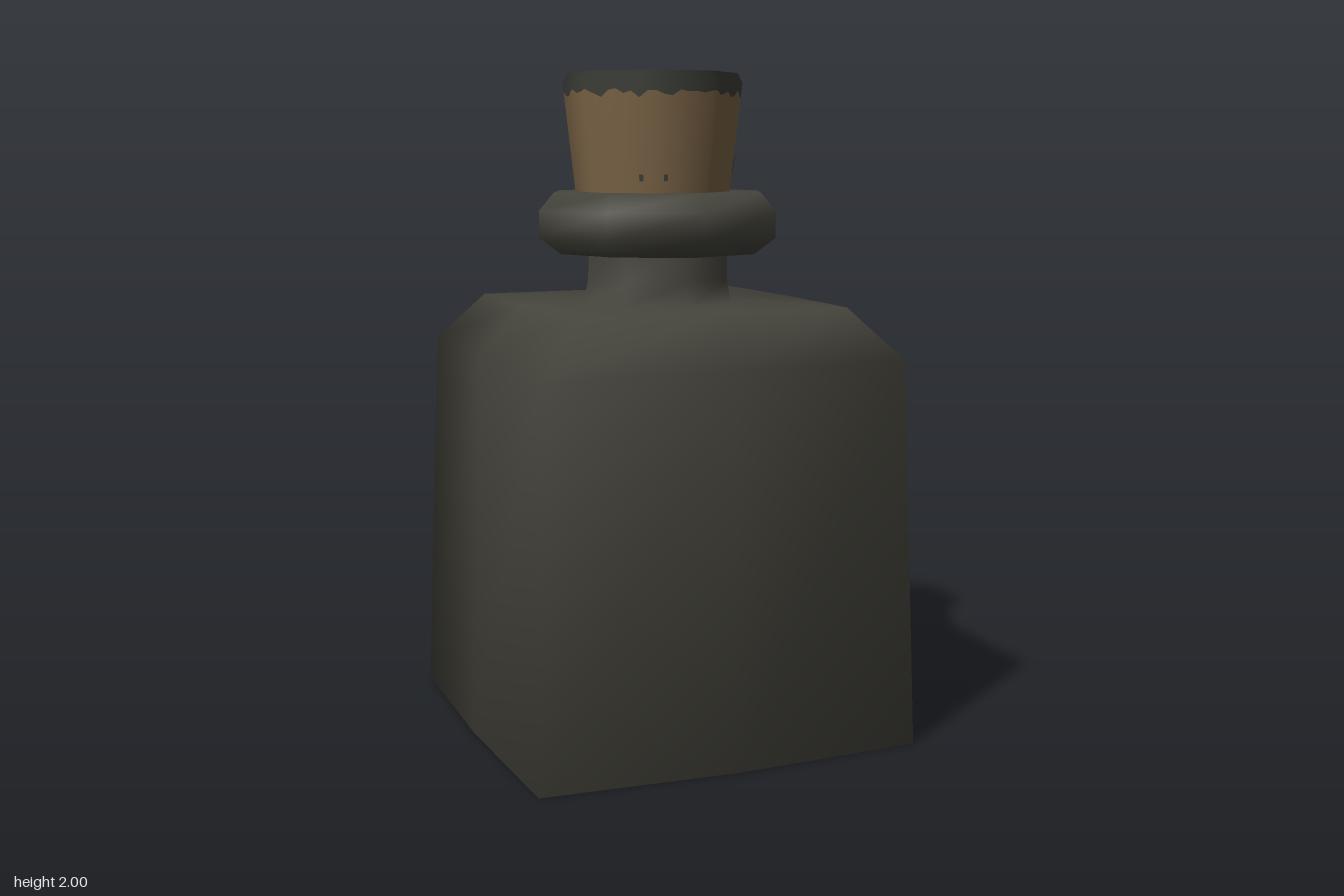
import * as THREE from 'three';

const mat = (name, color) => {
  const m = new THREE.MeshStandardMaterial({ color });
  m.name = name;
  return m;
};

// Skin closed rings of points, listed from bottom to top, sharing vertices for smooth shading
function loft(rings, { capBottom = false, capTop = false } = {}) {
  const n = rings[0].length, pos = [], idx = [];
  rings.forEach(r => r.forEach(p => pos.push(...p)));
  for (let r = 0; r < rings.length - 1; r++) {
    for (let i = 0; i < n; i++) {
      const a = r * n + i, b = r * n + (i + 1) % n;
      idx.push(a, a + n, b, b, a + n, b + n);
    }
  }
  const cap = (ring, base, up) => {
    const c = pos.length / 3;
    pos.push(...[0, 1, 2].map(k => ring.reduce((s, p) => s + p[k], 0) / n));
    for (let i = 0; i < n; i++) {
      const a = base + i, b = base + (i + 1) % n;
      if (up) idx.push(c, b, a); else idx.push(c, a, b);
    }
  };
  if (capBottom) cap(rings[0], 0, false);
  if (capTop) cap(rings[rings.length - 1], (rings.length - 1) * n, true);
  const g = new THREE.BufferGeometry();
  g.setAttribute('position', new THREE.Float32BufferAttribute(pos, 3));
  g.setIndex(idx);
  g.computeVertexNormals();
  return g;
}

const steps = (n, f) => Array.from({ length: n }, (_, i) => f(i * Math.PI * 2 / n, i));
const octagon = (r, y) => steps(8, a => [r * Math.cos(a), y, r * Math.sin(a)]);

// Square section whose side middles bulge slightly
const bulgedSquare = (midX, midZ, corner, y) => steps(8, (a, i) => {
  const c = Math.cos(a), s = Math.sin(a);
  return i % 2 ? [Math.sign(c) * corner, y, Math.sign(s) * corner] : [c * midX, y, s * midZ];
});

// Point on the tapered eight-sided cork
const CX = -0.02, CZ = 0.005, TURN = THREE.MathUtils.degToRad(24.5), COLS = 64;
const corkRadius = y => y < 1.97 ? 0.235 + (y - 1.64) * 0.115 : 0.273 - (y - 1.97) * 0.5;
function corkPoint(a, y, lift = 0) {
  const seg = Math.PI / 4;
  const local = (((a % seg) + seg) % seg) - seg / 2;
  const r = (corkRadius(y) + lift) * Math.cos(seg / 2) / Math.cos(local);
  return [CX + r * Math.cos(a + TURN), y, CZ + r * Math.sin(a + TURN)];
}

// Round off the shading of the cork's sides
function radialNormals(g) {
  const p = g.attributes.position, v = new THREE.Vector3();
  for (let i = 0; i < p.count; i++) {
    v.set(p.getX(i) - CX, -0.03, p.getZ(i) - CZ).normalize();
    g.attributes.normal.setXYZ(i, v.x, v.y, v.z);
  }
  return g;
}

export function createModel() {
  const glass = mat('dark glass', 0x45443c);
  const stain = mat('dark wax', 0x3e4039);
  const corkSide = mat('brown cork', 0x7b6446);
  const corkTop = mat('pale cork', 0xb3a376);

  const group = new THREE.Group();
  group.name = 'corkedBottle';
  const add = (name, geometry, material) => {
    const m = new THREE.Mesh(geometry, material);
    m.name = name;
    group.add(m);
    return m;
  };

  // Bottle body, shoulders and neck
  add('bottleBody', loft([
    bulgedSquare(0.61, 0.62, 0.592, 0),
    bulgedSquare(0.573, 0.585, 0.557, 1.16),
    bulgedSquare(0.445, 0.455, 0.43, 1.31),
    octagon(0.243, 1.31),
    octagon(0.228, 1.38),
    octagon(0.225, 1.48),
  ], { capBottom: true }), glass);

  // Thick lip around the mouth
  add('lip', loft([
    octagon(0.2, 1.46), octagon(0.315, 1.46), octagon(0.383, 1.51),
    octagon(0.383, 1.59), octagon(0.335, 1.645), octagon(0.2, 1.645),
  ], { capTop: true }), glass);

  // Cork: brown sides up to a ragged dark band
  let seed = 7;
  const rand = () => (seed = (seed * 16807) % 2147483647) / 2147483647;
  const ragged = steps(COLS, a => corkPoint(a, 1.935 + (rand() - 0.5) * 0.03));
  const ring = y => steps(COLS, a => corkPoint(a, y));
  add('corkSide', radialNormals(loft([ring(1.64), ragged])), corkSide);
  add('corkBand', radialNormals(loft([ragged, ring(1.97), ring(2)])), stain);

  // Top of the cork: pale disc inside a dark rim
  const disc = steps(COLS, a => {
    const r = 0.216 + (rand() - 0.5) * 0.01;
    return [CX + r * Math.cos(a + TURN), 2, CZ + r * Math.sin(a + TURN)];
  });
  add('corkRim', loft([ring(2), disc]), stain);
  add('corkTop', loft([disc], { capTop: true }), corkTop);

  // Small pits on the cork's top: x, z, half width, half depth
  [[-0.18, -0.05, 0.01, 0.008], [-0.11, -0.05, 0.014, 0.008], [-0.035, 0.02, 0.01, 0.03],
    [0.15, -0.03, 0.009, 0.012], [0.165, 0.02, 0.008, 0.012], [0.1, 0.13, 0.018, 0.012],
    [-0.205, -0.005, 0.007, 0.014]].forEach(([x, z, w, d], i) => {
    const pit = add('corkPit', new THREE.CircleGeometry(1, 8), i === 6 ? stain : corkSide);
    pit.rotation.x = -Math.PI / 2;
    pit.scale.set(w, d, 1);
    pit.position.set(x, 1.9985 + 0.003, z);
  });

  // Dark stains low on the cork's side: start and end angle in degrees, bottom, top
  [[6, 22, 1.65, 1.71], [10, 26, 1.7, 1.75], [-22, 6, 1.65, 1.67], [118, 121, 1.68, 1.7],
    [100, 103, 1.68, 1.7]].forEach(([a0, a1, y0, y1]) => {
    const g = new THREE.PlaneGeometry(1, 1, 8, 1), p = g.attributes.position;
    for (let i = 0; i < p.count; i++) {
      const a = THREE.MathUtils.degToRad(a1 + (a0 - a1) * (p.getX(i) + 0.5)) - TURN;
      p.setXYZ(i, ...corkPoint(a, y0 + (y1 - y0) * (p.getY(i) + 0.5), 0.004));
    }
    add('corkStain', radialNormals(g), stain);
  });

  return group;
}
